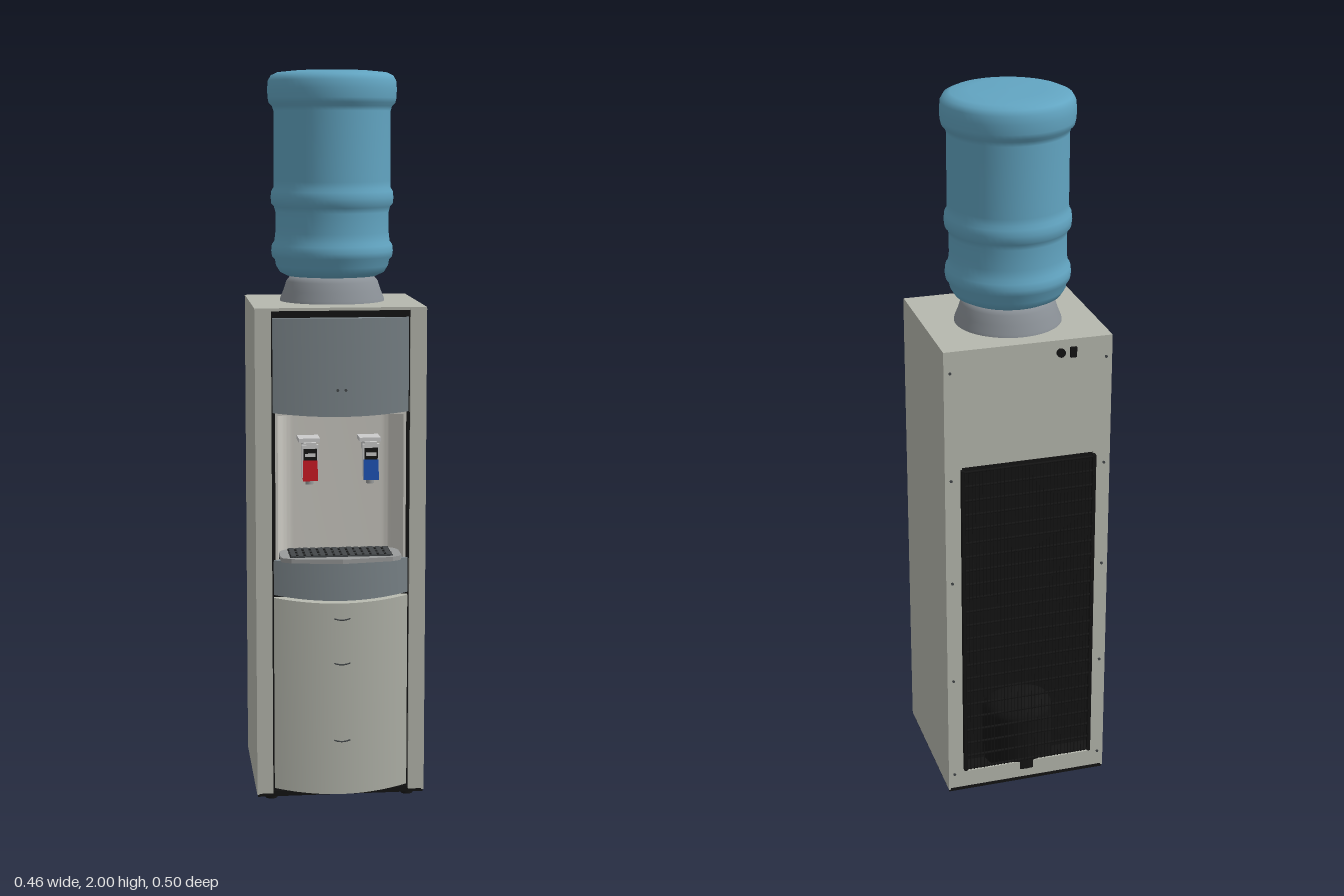
import * as THREE from 'three';
import { toCreasedNormals } from 'three/addons/utils/BufferGeometryUtils.js';

const mat = (color) => new THREE.MeshStandardMaterial({ color });

export function createModel() {
  const root = new THREE.Group();
  const M = {
    body: mat(0xb6b8ae), panel: mat(0x7d878c), alcove: mat(0xcac8c1), black: mat(0x141414),
    bottle: mat(0x62a5c2), collar: mat(0x8b9197), grey: mat(0x999b9b), white: mat(0xd8d8d4),
    red: mat(0xc01822), blue: mat(0x1c4fae), dark: mat(0x44484a),
  };
  M.bottle.side = THREE.DoubleSide;

  const add = (name, geo, m, x = 0, y = 0, z = 0, parent = root) => {
    const mesh = new THREE.Mesh(geo, m);
    mesh.name = name;
    mesh.position.set(x, y, z);
    parent.add(mesh);
    return mesh;
  };
  // box given by its min and max on each axis
  const box = (name, m, x0, x1, y0, y1, z0, z1, parent = root) =>
    add(name, new THREE.BoxGeometry(x1 - x0, y1 - y0, z1 - z0), m,
      (x0 + x1) / 2, (y0 + y1) / 2, (z0 + z1) / 2, parent);
  const rod = (name, m, r, len, axis, x, y, z, parent = root, sides = 8) => {
    const g = new THREE.CylinderGeometry(r, r, len, sides);
    if (axis === 'x') g.rotateZ(Math.PI / 2);
    if (axis === 'z') g.rotateX(Math.PI / 2);
    return add(name, g, m, x, y, z, parent);
  };
  // plan shape (x, -z) raised from y0 to y1
  const slab = (shape, y0, y1) => {
    const g = new THREE.ExtrudeGeometry(shape, { depth: y1 - y0, bevelEnabled: false, curveSegments: 12 });
    return g.rotateX(-Math.PI / 2).translate(0, y0, 0);
  };
  // bowed front panel whose top and bottom edges may droop at the centre
  const bowed = (name, m, w, zEdge, zPeak, y0, y1, sag0, sag1) => {
    const s = new THREE.Shape();
    s.moveTo(-w, -0.178);
    for (let i = 0; i <= 24; i++) {
      const t = i / 12 - 1;
      s.lineTo(t * w, -(zEdge + (zPeak - zEdge) * (1 - t * t)));
    }
    s.lineTo(w, -0.178);
    const g = slab(s, y0, y1), p = g.attributes.position;
    for (let i = 0; i < p.count; i++) {
      const t = p.getX(i) / w, sag = p.getY(i) > (y0 + y1) / 2 ? sag1 : sag0;
      p.setY(i, p.getY(i) - sag * (1 - t * t));
    }
    add(name, toCreasedNormals(g, 0.6), m);
  };

  // cabinet shell, hollow behind
  for (const s of [-1, 1]) {
    const side = s < 0 ? 'right' : 'left';
    box(side + 'SidePanel', M.body, s * 0.229 - 0.003, s * 0.229 + 0.003, 0.02, 1.37, -0.235, 0.19);
    box(side + 'FrontPost', M.body, s * 0.21 - 0.022, s * 0.21 + 0.022, 0.025, 1.366, 0.15, 0.195);
    box(side + 'BackStrip', M.body, s * 0.207 - 0.022, s * 0.207 + 0.022, 0.03, 1.04, -0.235, -0.229);
    box(side + 'AlcoveGap', M.black, s * 0.183 - 0.005, s * 0.183 + 0.005, 0.68, 1.085, 0.08, 0.186);
    for (const z of [0.15, -0.185])
      rod('foot', M.black, 0.017, 0.022, 'y', s * 0.19, 0.011, z, root, 16);
    for (const y of [0.07, 0.38, 0.69, 1.0, 1.31])
      rod('screw', M.dark, 0.004, 0.004, 'z', s * 0.215, y, -0.236);
  }
  box('topPanel', M.body, -0.232, 0.232, 1.362, 1.37, -0.235, 0.19);
  box('upperBackPanel', M.body, -0.23, 0.23, 1.035, 1.365, -0.235, -0.229);
  box('lowerBackRail', M.body, -0.23, 0.23, 0.025, 0.075, -0.235, -0.229);
  box('basePlate', M.black, -0.23, 0.23, 0.014, 0.03, -0.234, 0.188);
  box('innerPartition', M.black, -0.226, 0.226, 0.03, 1.1, -0.115, -0.11);
  box('lowerCore', M.black, -0.19, 0.19, 0.03, 0.68, 0.08, 0.182);
  box('upperCore', M.black, -0.19, 0.19, 1.085, 1.362, 0.08, 0.182);

  // bowed front panels
  bowed('lowerDoor', M.body, 0.183, 0.194, 0.228, 0.04, 0.58, 0.012, 0.012);
  bowed('trayFront', M.panel, 0.183, 0.194, 0.231, 0.588, 0.684, 0.012, 0);
  bowed('upperPanel', M.panel, 0.184, 0.19, 0.212, 1.088, 1.343, 0.01, 0);
  for (const x of [-0.011, 0.011]) rod('indicator', M.dark, 0.004, 0.004, 'z', x, 1.15, 0.212);
  for (const y of [0.523, 0.398, 0.18]) {
    const c = new THREE.QuadraticBezierCurve3(new THREE.Vector3(-0.022, y + 0.003, 0.2275),
      new THREE.Vector3(0, y - 0.006, 0.2295), new THREE.Vector3(0.022, y + 0.003, 0.2275));
    add('fingerMark', new THREE.TubeGeometry(c, 10, 0.002, 6), M.dark);
  }

  // dispensing alcove with rounded inner corners
  const u = new THREE.Shape();
  u.moveTo(-0.178, -0.188);
  u.lineTo(-0.178, -0.085);
  u.lineTo(0.178, -0.085);
  u.lineTo(0.178, -0.188);
  u.lineTo(0.171, -0.188);
  u.lineTo(0.165, -0.14);
  u.quadraticCurveTo(0.16, -0.1, 0.12, -0.1);
  u.lineTo(-0.12, -0.1);
  u.quadraticCurveTo(-0.16, -0.1, -0.165, -0.14);
  u.lineTo(-0.171, -0.188);
  add('alcoveWall', toCreasedNormals(slab(u, 0.68, 1.088), 0.6), M.alcove);
  box('alcoveCeiling', M.alcove, -0.178, 0.178, 1.08, 1.088, 0.09, 0.186);

  // drip tray with pointed lip and slats
  const lip = new THREE.Shape([[-0.165, 0.095], [-0.165, 0.2], [-0.16, 0.212], [-0.138, 0.226], [0, 0.247],
    [0.138, 0.226], [0.16, 0.212], [0.165, 0.2], [0.165, 0.095]].map(([x, z]) => new THREE.Vector2(x, -z)));
  add('trayLip', slab(lip, 0.682, 0.694), M.grey);
  box('trayWell', M.black, -0.14, 0.14, 0.69, 0.6955, 0.108, 0.212);
  for (let i = 0; i < 14; i++)
    box('traySlat', M.dark, -0.1365 + i * 0.02, -0.1235 + i * 0.02, 0.693, 0.699, 0.108, 0.212);
  for (const z of [0.112, 0.145, 0.178, 0.21])
    box('trayCrossBar', M.dark, -0.14, 0.14, 0.693, 0.698, z - 0.002, z + 0.002);

  // taps
  for (const [name, x, colour] of [['hotTap', -0.083, M.red], ['coldTap', 0.083, M.blue]]) {
    const tap = new THREE.Group();
    tap.name = name;
    tap.position.x = x;
    root.add(tap);
    box('tapCap', M.white, -0.029, 0.029, 1.002, 1.013, 0.095, 0.165, tap);
    box('tapArm', M.white, -0.017, 0.017, 0.975, 1.003, 0.095, 0.18, tap);
    rod('spout', M.white, 0.016, 0.08, 'y', 0, 0.94, 0.158, tap, 20);
    rod('nozzle', M.grey, 0.011, 0.02, 'y', 0, 0.897, 0.158, tap, 16);
    box('leverFrame', M.white, -0.023, 0.023, 0.908, 0.998, 0.168, 0.183, tap);
    box('leverSlot', M.black, -0.018, 0.018, 0.955, 0.988, 0.18, 0.185, tap);
    box('leverBar', M.white, -0.014, 0.014, 0.967, 0.975, 0.183, 0.19, tap);
    const lever = box('lever', colour, -0.02, 0.02, 0.9, 0.956, 0.178, 0.191, tap);
    lever.rotation.x = -0.15;
  }

  // collar and bottle
  const lathe = (name, pts, m) => add(name,
    new THREE.LatheGeometry(pts.map(([r, y]) => new THREE.Vector2(r, y)), 56), m, 0, 0, -0.042);
  lathe('collar', [[0.146, 1.368], [0.144, 1.378], [0.135, 1.4], [0.127, 1.425], [0.117, 1.437], [0.1, 1.441], [0, 1.441]], M.collar);
  lathe('bottle', [[0.09, 1.437], [0.125, 1.44], [0.145, 1.45], [0.156, 1.468], [0.159, 1.485], [0.167, 1.493],
    [0.169, 1.508], [0.167, 1.525], [0.16, 1.535], [0.157, 1.56], [0.157, 1.615], [0.161, 1.63], [0.168, 1.637],
    [0.17, 1.655], [0.168, 1.672], [0.162, 1.682], [0.161, 1.7], [0.161, 1.89], [0.165, 1.903], [0.174, 1.912],
    [0.177, 1.925], [0.178, 1.95], [0.176, 1.972], [0.168, 1.986], [0.15, 1.994], [0.1, 1.999], [0, 2]], M.bottle);

  // rear condenser grille
  const grille = new THREE.Group();
  grille.name = 'condenserGrille';
  root.add(grille);
  for (const s of [-1, 1]) {
    box('grilleRail', M.black, s * 0.185 - 0.004, s * 0.185 + 0.004, 0.085, 1.03, -0.249, -0.234, grille);
  }
  for (let i = 0; i <= 22; i++)
    rod('coolingTube', M.black, 0.0035, 0.37, 'x', 0, 0.09 + i * 0.0425, -0.244, grille, 8);
  for (let i = 0; i <= 36; i++)
    rod('grilleWire', M.black, 0.0012, 0.94, 'y', -0.18 + i * 0.01, 0.557, -0.2485, grille, 5);

  // compressor and rear fittings
  rod('compressor', M.black, 0.1, 0.16, 'y', 0, 0.13, -0.137, root, 32);
  const dome = new THREE.SphereGeometry(0.1, 32, 8, 0, Math.PI * 2, 0, Math.PI / 2).scale(1, 0.5, 1);
  add('compressorDome', dome, M.black, 0, 0.21, -0.137);
  rod('rearSocket', M.black, 0.012, 0.01, 'z', -0.088, 1.335, -0.238, root, 16);
  box('rearSwitch', M.black, -0.131, -0.114, 1.32, 1.348, -0.243, -0.234);

  return root;
}
